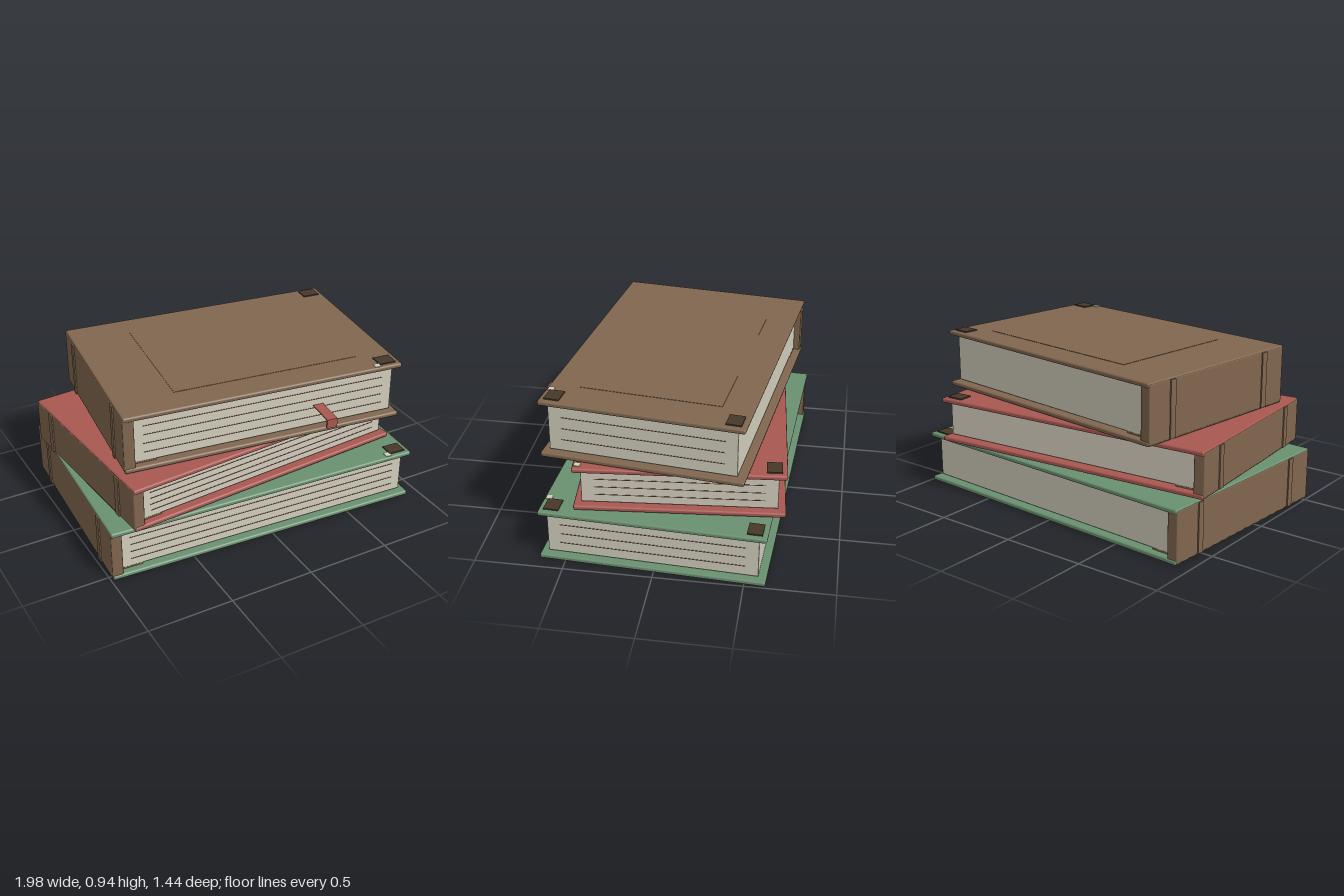
import * as THREE from 'three';
import { RoundedBoxGeometry } from 'three/addons/geometries/RoundedBoxGeometry.js';

const material = (name, color) => Object.assign(new THREE.MeshStandardMaterial({ color }), { name });

export function createModel() {
  const brown = material('brown leather', 0x80664f);
  const red = material('red cloth', 0xa85751);
  const green = material('green cloth', 0x6a9070);
  const paper = material('paper', 0xd2cdbd);
  const line = material('page line', 0x6b4a3c);
  const dark = material('dark corner', 0x46382a);

  const add = (parent, name, mat, size, pos, radius = 0) => {
    const geo = radius ? new RoundedBoxGeometry(...size, 1, radius) : new THREE.BoxGeometry(...size);
    const mesh = new THREE.Mesh(geo, mat);
    mesh.name = name;
    mesh.position.set(...pos);
    parent.add(mesh);
    return mesh;
  };

  // One closed book: spine on -x, front edge of the pages on +x
  function book({ name, cover, w, d, h, x, y, z, turn, plates }) {
    const g = new THREE.Group();
    g.name = name;
    g.position.set(x, y, z);
    g.rotation.y = turn;
    const hx = w / 2, hz = d / 2, t = 0.028, gap = 0.008;

    // Cover boards
    add(g, 'bottomCover', cover, [w, t, d], [0, t / 2, 0], 0.01);
    add(g, 'topCover', cover, [w, t, d], [0, h - t / 2, 0], 0.01);

    // Spine with two raised bands
    add(g, 'spine', brown, [0.065, h - 0.016, d - 0.012], [-hx + 0.03, h / 2, 0], 0.006);
    for (const s of [-1, 1])
      add(g, 'spineBand', brown, [0.02, h - 0.02, 0.04], [-hx, h / 2, s * hz * 0.68]);

    // Page block and the hinge strips above and below it
    const x0 = -hx + 0.06, x1 = hx - 0.038, pz = hz - 0.043;
    const ph = h - 2 * (t + gap), pw = x1 - x0, px = (x0 + x1) / 2;
    add(g, 'pages', paper, [pw, ph, pz * 2], [px, h / 2, 0], 0.004);
    for (const py of [t + gap / 2, h - t - gap / 2])
      add(g, 'hinge', brown, [0.13, gap + 0.004, pz * 2], [x0 + 0.065, py, 0]);

    // Fine lines on the two open page edges
    for (let i = 1; i <= 4; i++)
      add(g, 'frontPageLine', line, [pw - 0.12, 0.004, 0.004], [px, t + gap + ph * i / 5, pz]);
    for (let i = 1; i <= 3; i++)
      add(g, 'sidePageLine', line, [0.004, 0.004, pz * 2 - 0.14], [x1, t + gap + ph * i / 4, 0]);

    // Metal corner plates on the top cover
    for (const s of plates)
      add(g, 'cornerPlate', dark, [0.1, 0.008, 0.085], [hx - 0.08, h + 0.003, s * (hz - 0.07)]);

    // Small paper tab beside the front corner
    const tabX = plates.includes(1) ? 0.147 : 0.045;
    add(g, 'paperTab', paper, [0.035, 0.006, 0.035], [hx - tabX, h + 0.001, hz - 0.028]);
    return g;
  }

  const lower = book({ name: 'lowerBook', cover: green, w: 1.913, d: 1.265, h: 0.312,
    x: 0.002, y: 0, z: -0.037, turn: -0.055, plates: [-1, 1] });
  const middle = book({ name: 'middleBook', cover: red, w: 1.766, d: 1.155, h: 0.266,
    x: -0.037, y: 0.322, z: -0.05, turn: 0.085, plates: [-1] });
  const upper = book({ name: 'upperBook', cover: brown, w: 1.657, d: 1.128, h: 0.344,
    x: 0.047, y: 0.592, z: -0.02, turn: -0.121, plates: [-1, 1] });

  // Raised panel on the uppermost cover
  add(upper, 'coverPanel', brown, [1.108, 0.004, 0.787], [0.07, 0.344, 0]);

  // Ribbon bookmark leaving the pages and hanging down
  add(upper, 'ribbon', red, [0.062, 0.006, 0.2], [0.328, 0.16, 0.6]);
  add(upper, 'ribbonEnd', red, [0.062, 0.055, 0.012], [0.328, 0.1355, 0.694]);

  const model = new THREE.Group();
  model.name = 'bookStack';
  model.add(lower, middle, upper);
  return model;
}
